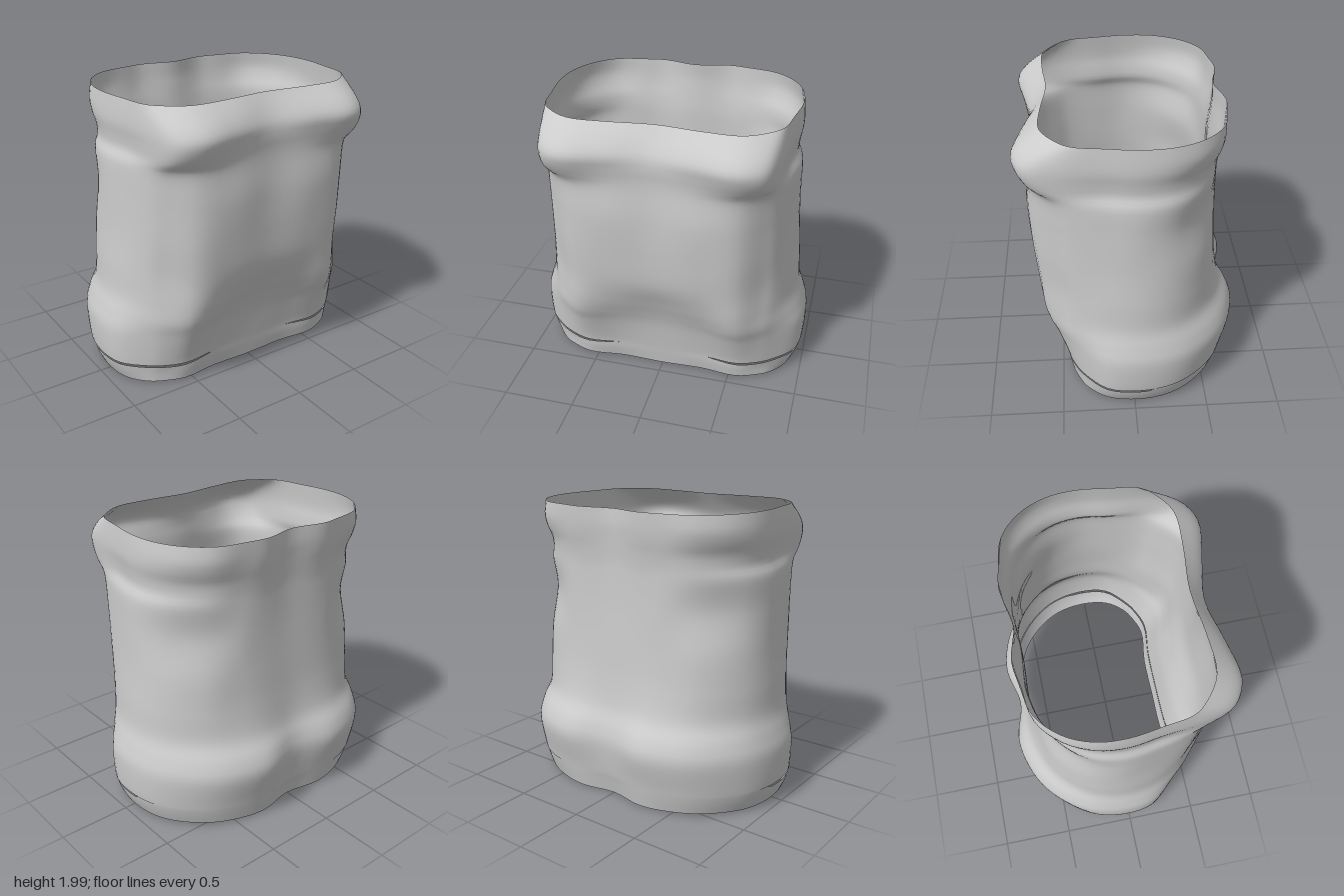
import * as THREE from 'three';

// Cross-section rules from hem to neckline: y, half width,
// front z at centre / inner / swell / corner, back z at centre / swell, fullness of back corner
const ROWS = [
  [0.005, 0.93, 0.405, 0.405, 0.435, 0.38, -0.61, -0.66, 1],
  [0.10, 0.965, 0.42, 0.425, 0.45, 0.39, -0.635, -0.68, 1],
  [0.20, 0.985, 0.435, 0.44, 0.465, 0.41, -0.66, -0.70, 1],
  [0.40, 0.99, 0.47, 0.49, 0.53, 0.45, -0.685, -0.745, 1],
  [0.52, 0.96, 0.505, 0.535, 0.58, 0.48, -0.665, -0.72, 1],
  [0.65, 0.92, 0.555, 0.585, 0.605, 0.475, -0.62, -0.645, 1],
  [0.85, 0.905, 0.63, 0.64, 0.615, 0.465, -0.595, -0.605, 1.015],
  [1.10, 0.885, 0.655, 0.67, 0.635, 0.485, -0.58, -0.585, 1.02],
  [1.37, 0.875, 0.66, 0.688, 0.645, 0.50, -0.565, -0.575, 0.98],
  [1.58, 0.868, 0.65, 0.675, 0.65, 0.525, -0.56, -0.575, 1.015],
  [1.66, 0.837, 0.65, 0.68, 0.69, 0.61, -0.56, -0.58, 1.025],
  [1.74, 0.84, 0.655, 0.695, 0.73, 0.66, -0.565, -0.59, 1.025],
  [1.82, 0.852, 0.645, 0.705, 0.745, 0.665, -0.57, -0.605, 1.045],
  [1.90, 0.85, 0.60, 0.66, 0.69, 0.60, -0.575, -0.615, 1.06],
  [2.00, 0.84, 0.53, 0.56, 0.56, 0.46, -0.57, -0.62, 1.05],
];

// Smooth blend between rows; t runs over row numbers
function rowAt(t) {
  const last = ROWS.length - 1;
  const i = Math.min(Math.floor(t), last - 1), u = t - i;
  const p = [-1, 0, 1, 2].map(k => ROWS[THREE.MathUtils.clamp(i + k, 0, last)]);
  return p[1].map((b, k) => {
    const a = p[0][k], c = p[2][k], d = p[3][k];
    return b + 0.5 * u * (c - a + u * (2 * a - 5 * b + 4 * c - d + u * (3 * (b - c) + d - a)));
  });
}

function rowAtHeight(y) {
  let lo = 0, hi = ROWS.length - 1;
  for (let k = 0; k < 30; k++) {
    const mid = (lo + hi) / 2;
    if (rowAt(mid)[0] < y) lo = mid; else hi = mid;
  }
  return rowAt(lo);
}

// Closed, mirrored outline of one cross-section
function outline([, w, f0, fm, f1, fc, b0, b1, q]) {
  const half = [
    [0, f0], [0.3, fm], [0.56, f1], [0.715, fc],
    [0.61 + 0.2 * w, 0.6 * fc + 0.1], [0.965 * w, 0.19], [w, -0.03],
    [0.955 * w * (0.5 + 0.5 * q), 0.38 * b1], [0.84 * w * q, 0.64 * b1 * q], [0.67 * w * q, 0.85 * b1 * q],
    [0.46 * w, 0.97 * b1], [0.28 * w, b1], [0, b0],
  ];
  const other = half.slice(1, -1).reverse().map(([x, z]) => [-x, z]);
  return new THREE.CatmullRomCurve3(
    [...half, ...other].map(([x, z]) => new THREE.Vector3(x, 0, z)), true, 'centripetal');
}

// Open tube of cloth between two heights; heightAt may bend each ring
function shell(name, y0, y1, rings, heightAt, scale = 1) {
  const N = 96, pos = [], idx = [];
  for (let j = 0; j <= rings; j++) {
    const v = j / rings, y = y0 + (y1 - y0) * v;
    const curve = outline(rowAtHeight(y));
    for (let i = 0; i < N; i++) {
      const p = curve.getPoint(i / N);
      pos.push(p.x * scale, heightAt(y, v, p), p.z * scale);
      if (j < rings) {
        const a = j * N + i, b = j * N + (i + 1) % N;
        idx.push(a, b, b + N, a, b + N, a + N);
      }
    }
  }
  const g = new THREE.BufferGeometry();
  g.setAttribute('position', new THREE.Float32BufferAttribute(pos, 3));
  g.setIndex(idx);
  g.computeVertexNormals();
  const mesh = new THREE.Mesh(g, new THREE.MeshStandardMaterial({ color: 0xcccccc, side: THREE.DoubleSide }));
  mesh.name = name;
  return mesh;
}

export function createModel() {
  const group = new THREE.Group();
  group.name = 'tubeTop';
  // Main body of the garment
  group.add(shell('body', 0.16, 2, 72, y => y));
  // Hem band, with a narrow open seam towards the front sides
  group.add(shell('hemBand', 0.008, 0.16, 8, (y, v, p) => {
    const gap = p.z > -0.1 ? THREE.MathUtils.smoothstep(Math.abs(p.x), 0.25, 0.65) : 0;
    const wave = 0.008 * (1 - Math.cos(p.x * 5)) * (1 - v);
    return y - 0.016 * gap * v + wave;
  }, 0.995));
  return group;
}
